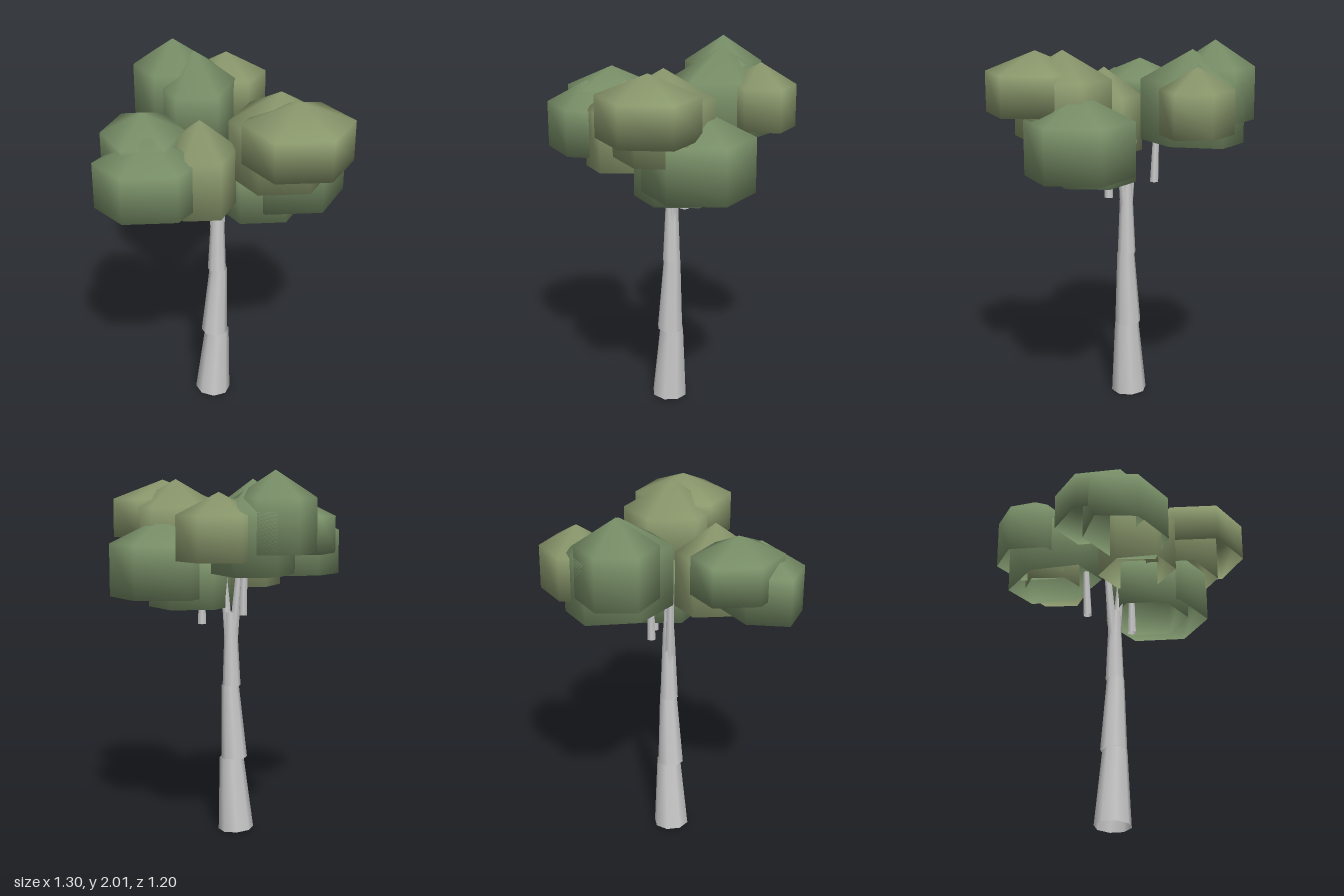
import * as THREE from 'three';

export function createModel() {
  const tree = new THREE.Group();
  tree.name = 'tree';
  const bark = new THREE.MeshStandardMaterial({ color: 0xcccccc, side: THREE.DoubleSide });
  const green = new THREE.MeshStandardMaterial({ color: 0x7a9169, side: THREE.DoubleSide });
  const olive = new THREE.MeshStandardMaterial({ color: 0x8c9a6e, side: THREE.DoubleSide });

  // Open tapered tube between two points
  const limb = (name, a, b, r0, r1, sides = 8) => {
    const from = new THREE.Vector3(...a);
    const dir = new THREE.Vector3(...b).sub(from);
    const length = dir.length();
    const geometry = new THREE.CylinderGeometry(r1, r0, length, sides, 1, true);
    geometry.translate(0, length / 2, 0);
    const mesh = new THREE.Mesh(geometry, bark);
    mesh.name = name;
    mesh.position.copy(from);
    mesh.quaternion.setFromUnitVectors(new THREE.Vector3(0, 1, 0), dir.normalize());
    tree.add(mesh);
  };

  // Trunk: three stacked tapering sections
  limb('trunkBase', [-0.045, 0, 0.06], [-0.02, 0.415, 0.057], 0.098, 0.067);
  limb('trunkMiddle', [-0.035, 0.41, 0.06], [-0.012, 0.825, 0.057], 0.072, 0.048);
  limb('trunkTop', [-0.02, 0.82, 0.057], [-0.015, 1.23, 0.055], 0.05, 0.032);

  // Branches forking into the crown
  limb('leftBranch', [-0.025, 1.03, 0.055], [-0.06, 1.45, 0.04], 0.03, 0.02, 6);
  limb('rightBranch', [-0.01, 1.03, 0.055], [0.025, 1.45, 0.07], 0.03, 0.02, 6);

  // Short twigs under the foliage
  limb('rightTwig', [0.143, 1.165, 0.06], [0.143, 1.37, 0.06], 0.026, 0.018, 6);
  limb('leftTwig', [-0.075, 1.23, -0.088], [-0.082, 1.5, -0.095], 0.025, 0.018, 6);

  // Foliage: six-sided domes, open underneath
  const dome = new THREE.SphereGeometry(1, 6, 2, 0, Math.PI * 2, 0, Math.PI * 2 / 3);
  const ring = Math.sin(Math.PI / 3);
  // [material, x, z, half width in x, half depth in z, top y, vertical radius]
  const clumps = [
    [green, -0.225, -0.37, 0.213, 0.182, 2.0, 0.28],
    [olive, 0.065, -0.44, 0.217, 0.16, 1.89, 0.23],
    [green, -0.115, -0.298, 0.217, 0.254, 1.955, 0.323],
    [green, -0.4, 0.228, 0.211, 0.217, 1.852, 0.205],
    [green, -0.377, 0.387, 0.275, 0.178, 1.79, 0.25],
    [olive, -0.118, 0.277, 0.187, 0.191, 1.825, 0.307],
    [green, 0.355, 0.09, 0.294, 0.253, 1.75, 0.29],
    [green, 0.2, 0.125, 0.235, 0.2, 1.65, 0.263],
    [olive, 0.285, 0.25, 0.26, 0.223, 1.953, 0.302],
    [olive, 0.36, 0.372, 0.28, 0.225, 1.95, 0.215],
  ];
  clumps.forEach(([material, x, z, w, d, top, v], i) => {
    const mesh = new THREE.Mesh(dome, material);
    mesh.name = `foliage${i + 1}`;
    mesh.position.set(x, top - v, z);
    mesh.scale.set(w / ring, v, d / ring / ring);
    tree.add(mesh);
  });
  return tree;
}
